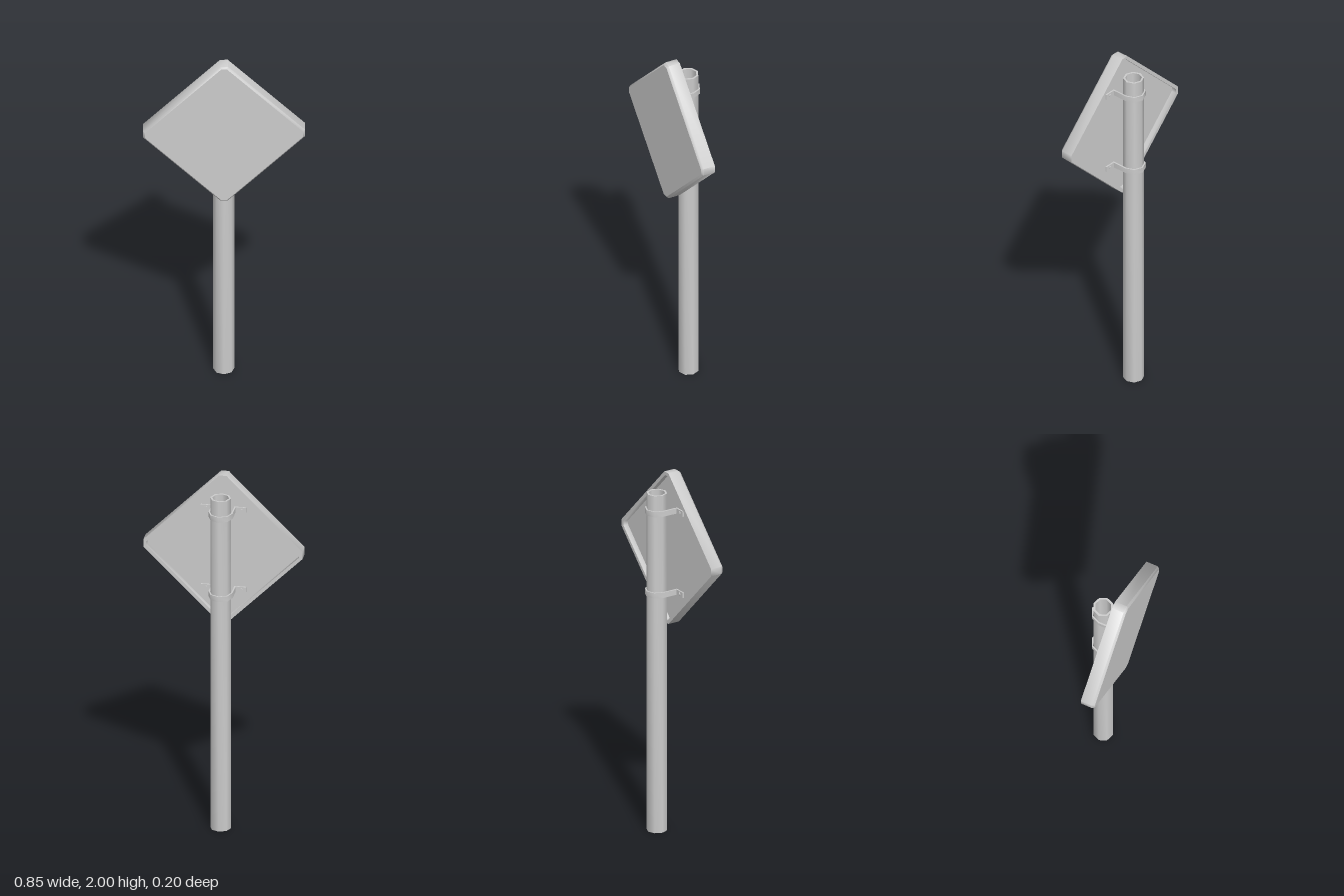
import * as THREE from 'three';
import { toCreasedNormals } from 'three/addons/utils/BufferGeometryUtils.js';

const CREASE = 0.85; // keeps 45 degree corners smooth, sharper edges hard
const POLE_Z = -0.037, PANEL_Z = 0.052, SIGN_Y = 1.576;

// Diamond with cut corners, moved inwards by inset; corners run counterclockwise
function diamondLoop(inset, z) {
  const cut = 0.02 - inset * 0.414;
  const tip = 0.424 - inset;
  const loop = [];
  for (let i = 0; i < 4; i++) {
    const c = Math.round(Math.cos(i * Math.PI / 2)), s = Math.round(Math.sin(i * Math.PI / 2));
    for (const t of [-cut, cut]) loop.push([c * tip - s * t, s * tip + c * t, z]);
  }
  return loop;
}

// Skin over successive loops, closed by a fan at both ends
function loftLoops(loops) {
  const n = loops[0].length, pos = loops.flat(2), index = [];
  for (let r = 0; r < loops.length - 1; r++) {
    for (let i = 0; i < n; i++) {
      const a = r * n + i, b = r * n + (i + 1) % n;
      index.push(a, b, b + n, a, b + n, a + n);
    }
  }
  const last = (loops.length - 1) * n;
  for (let i = 1; i < n - 1; i++) {
    index.push(0, i + 1, i);
    index.push(last, last + i, last + i + 1);
  }
  const g = new THREE.BufferGeometry();
  g.setAttribute('position', new THREE.Float32BufferAttribute(pos, 3));
  g.setIndex(index);
  return toCreasedNormals(g, CREASE);
}

// Extrudes an outline given as [x, z] points upwards
function extrudeUp(outline, height, hole) {
  const toShape = (pts) => pts.map(([x, z]) => new THREE.Vector2(x, -z));
  const shape = new THREE.Shape(toShape(outline));
  if (hole) shape.holes.push(new THREE.Path(toShape(hole)));
  const g = new THREE.ExtrudeGeometry(shape, { depth: height, bevelEnabled: false });
  g.rotateX(-Math.PI / 2);
  return toCreasedNormals(g, CREASE);
}

// Points of an octagon around the pole axis, from +x over the back to -x and on
function octagon(radius, count) {
  return Array.from({ length: count }, (_, i) => {
    const a = i * Math.PI / 4;
    return [radius * Math.cos(a), POLE_Z - radius * Math.sin(a)];
  });
}

export function createModel() {
  const model = new THREE.Group();
  const material = new THREE.MeshStandardMaterial({ color: 0xcccccc });
  const add = (parent, name, geometry, x = 0, y = 0, z = 0) => {
    const mesh = new THREE.Mesh(geometry, material);
    mesh.name = name;
    mesh.position.set(x, y, z);
    parent.add(mesh);
    return mesh;
  };

  // Hollow tube post
  add(model, 'pole', extrudeUp(octagon(0.055, 8), 1.9, octagon(0.044, 8)));

  // Sign: recessed back, rim, sides and bevelled front
  add(model, 'signPanel', loftLoops([
    diamondLoop(0.018, PANEL_Z),
    diamondLoop(0.018, 0.023),
    diamondLoop(0, 0.023),
    diamondLoop(0, 0.088),
    diamondLoop(0.01, 0.1),
  ]), 0, SIGN_Y, 0);

  // Clamp strap: around the back of the pole, with feet against the panel
  const t = 0.008, inner = 0.056, outer = inner + t, foot = 0.122;
  const strap = extrudeUp([
    [foot, PANEL_Z], [foot, PANEL_Z - t], [outer, PANEL_Z - t],
    ...octagon(outer, 5),
    [-outer, PANEL_Z - t], [-foot, PANEL_Z - t], [-foot, PANEL_Z], [-inner, PANEL_Z],
    ...octagon(inner, 5).reverse(),
    [inner, PANEL_Z],
  ], 0.03);
  const bolt = new THREE.CylinderGeometry(0.008, 0.008, 0.006, 6).rotateX(Math.PI / 2);
  const boltGeometry = toCreasedNormals(bolt, CREASE);

  for (const [name, y] of [['upperClamp', 1.8], ['lowerClamp', 1.342]]) {
    const clamp = new THREE.Group();
    clamp.name = name;
    clamp.position.y = y;
    add(clamp, 'strap', strap, 0, -0.015, 0);
    for (const side of [-1, 1]) {
      add(clamp, side > 0 ? 'leftBolt' : 'rightBolt', boltGeometry, side * 0.094, 0, PANEL_Z - t - 0.002);
    }
    model.add(clamp);
  }
  return model;
}
